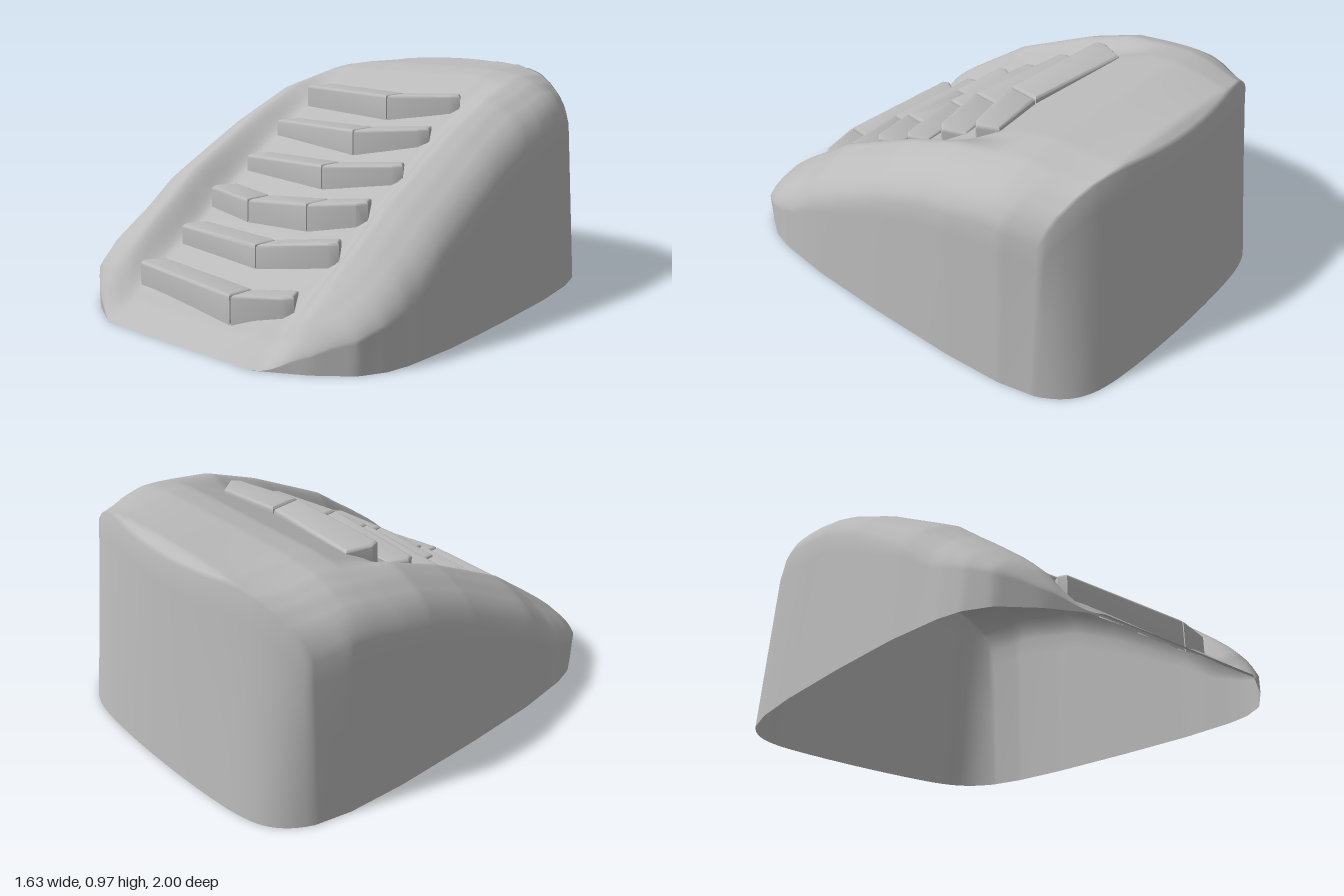
import * as THREE from 'three';
import { toCreasedNormals } from 'three/addons/utils/BufferGeometryUtils.js';

const stone = new THREE.MeshStandardMaterial({ color: 0xbbbbbb, side: THREE.DoubleSide });
stone.name = 'grey stone';

const lerp = THREE.MathUtils.lerp;
const smooth = THREE.MathUtils.smoothstep;

// Straight interpolation in a short list of [position, value] pairs
function sample(table, t) {
  for (let i = 1; i < table.length; i++) {
    const [a, va] = table[i - 1], [b, vb] = table[i];
    if (t <= b) return lerp(va, vb, Math.max(0, (t - a) / (b - a)));
  }
  return table[table.length - 1][1];
}

// Ridge height, channel depth and half widths along z; fall of the surface towards its sides
const ridge = [[-0.92, 0.94], [-0.87, 0.975], [-0.6, 0.96], [-0.25, 0.885], [0, 0.775], [0.4, 0.555], [0.75, 0.285], [0.85, 0.2], [1, 0]];
const channelDepth = [[-0.48, 0], [-0.2, 0.075], [0.08, 0.11], [0.26, 0.135], [0.46, 0.152], [0.65, 0.125], [0.88, 0.085], [1, 0]];
const topWidth = [[-0.8, 0.65], [-0.65, 0.71], [-0.4, 0.75], [0, 0.775], [0.35, 0.795], [0.6, 0.79], [0.7, 0.775], [0.8, 0.73], [0.9, 0.6], [1, 0.41]];
const baseWidth = [[-0.8, 0.69], [-0.65, 0.735], [-0.4, 0.77], [0, 0.8], [0.35, 0.815], [0.6, 0.805], [0.7, 0.785], [0.8, 0.73], [0.9, 0.6], [1, 0.41]];
const sideFall = [[0, 0], [0.5, 0], [0.7, 0.018], [0.8, 0.045], [0.9, 0.09], [0.96, 0.135], [1, 0.2]];

// Steps from the lowest up: [x, back z, front z, top y] at each joint
const steps = [
  [[-0.43, 0.72, 0.83, 0.22], [0.17, 0.755, 0.875, 0.2], [0.41, 0.695, 0.81, 0.22]],
  [[-0.41, 0.5, 0.62, 0.34], [0.08, 0.53, 0.65, 0.335], [0.43, 0.475, 0.58, 0.385]],
  [[-0.43, 0.3, 0.43, 0.475], [-0.155, 0.325, 0.46, 0.455], [0.17, 0.31, 0.45, 0.48], [0.42, 0.28, 0.4, 0.51]],
  [[-0.41, 0.1, 0.23, 0.59], [0.08, 0.135, 0.26, 0.6], [0.43, 0.08, 0.19, 0.63]],
  [[-0.415, -0.09, 0.03, 0.725], [0.1, -0.065, 0.08, 0.73], [0.415, -0.13, 0, 0.755]],
  [[-0.41, -0.32, -0.17, 0.87], [0.11, -0.27, -0.135, 0.86], [0.425, -0.32, -0.21, 0.875]],
];

// Sloping surface with the hollow channel that holds the steps
function surfaceHeight(x, z, u) {
  const p = sample(ridge, z);
  const channel = sample(channelDepth, z) * (1 - smooth(Math.abs(x), 0.4, 0.56));
  const fall = sample(sideFall, Math.abs(u)) + 0.06 * u * u * smooth(-z, 0.5, 0.85);
  return Math.max(0, p - fall * Math.min(1, p / 0.45) - channel);
}

// True well inside a step block, where the shell is open below
function underStep(x, z) {
  return steps.some((joints) => joints.slice(1).some((b, k) => {
    const a = joints[k], t = (x - a[0]) / (b[0] - a[0]);
    const left = a[0] + (k === 0 ? 0.06 : 0.025);
    const right = b[0] - (k === joints.length - 2 ? 0.07 : 0.025);
    return x > left && x < right && z > lerp(a[1], b[1], t) + 0.025 && z < lerp(a[2], b[2], t) - 0.025;
  }));
}

function shellGeometry() {
  const NU = 80, NV = 110, positions = [], index = [];
  const add = (x, y, z) => positions.push(x, y, z) / 3 - 1;
  const quad = (a, b, c, d) => index.push(a, b, c, a, c, d);
  const at = (a) => positions.slice(a * 3, a * 3 + 3);

  // Top sheet
  const grid = [];
  for (let j = 0; j <= NV; j++) {
    grid.push([]);
    for (let i = 0; i <= NU; i++) {
      const u = (i / NU) * 2 - 1, v = j / NV;
      const x = u * sample(topWidth, lerp(-0.8, 1, v));
      const z = lerp(-0.92 + 0.14 * u * u, 1, v);
      grid[j].push(add(x, surfaceHeight(x, z, u), z));
    }
  }
  for (let j = 0; j < NV; j++)
    for (let i = 0; i < NU; i++) {
      const a = at(grid[j][i]), c = at(grid[j + 1][i + 1]);
      if (!underStep((a[0] + c[0]) / 2, (a[2] + c[2]) / 2))
        quad(grid[j][i], grid[j + 1][i], grid[j + 1][i + 1], grid[j][i + 1]);
    }

  // Border from front right, round the back, to front left
  const border = [];
  for (let j = NV; j > 0; j--) border.push([grid[j][0], -1, j / NV]);
  for (let i = 0; i <= NU; i++) border.push([grid[0][i], (i / NU) * 2 - 1, 0]);
  for (let j = 1; j <= NV; j++) border.push([grid[j][NU], 1, j / NV]);

  // Wall hanging from the border to the ground
  let previous = null;
  for (const [top, u, v] of border) {
    const zr = lerp(-0.8, 1, v);
    const bx = u * sample(baseWidth, zr);
    const bz = v > 0 ? zr : -1 + 0.15 * u ** 8 + 0.05 * u * u;
    const [tx, ty, tz] = at(top);
    const column = [top];
    for (const f of [0.12, 0.5, 1]) column.push(add(lerp(tx, bx, f), ty * (1 - f), lerp(tz, bz, f)));
    if (previous)
      for (let k = 0; k < 3; k++) quad(previous[k], column[k], column[k + 1], previous[k + 1]);
    previous = column;
  }

  const g = new THREE.BufferGeometry();
  g.setAttribute('position', new THREE.Float32BufferAttribute(positions, 3));
  g.setIndex(index);
  g.computeVertexNormals();
  return g;
}

// One hollow rounded block; each end is [x, back z, front z, top y, outer end taper]
function blockGeometry(a, b) {
  const bevel = 0.014, depth = 0.12, gap = 0.003;
  const x0 = a[0] + gap, x1 = b[0] - gap;
  const shape = new THREE.Shape([
    [x0 + a[4] * 0.4, -a[2]], [x1 - b[4] * 0.6, -b[2]],
    [x1, -lerp(b[1], b[2], 0.7)], [x1 - b[4], -b[1]],
    [x0 + a[4], -a[1]], [x0, -lerp(a[1], a[2], 0.7)],
  ].map(([x, y]) => new THREE.Vector2(x, y)));
  const g = new THREE.ExtrudeGeometry(shape, {
    depth: depth - 2 * bevel, bevelEnabled: true, bevelThickness: bevel,
    bevelSize: bevel, bevelOffset: -bevel, bevelSegments: 3,
  });
  g.rotateX(-Math.PI / 2);

  // Leave the underside open, raise the lid to its top line and sink the walls into the channel
  const p = g.attributes.position, kept = [];
  const isLow = (i) => p.getY(i) < depth / 2 - bevel;
  for (let i = 0; i < p.count; i += 3) {
    if (isLow(i) && isLow(i + 1) && isLow(i + 2)) continue;
    for (let k = i; k < i + 3; k++) {
      const x = p.getX(k), z = p.getZ(k);
      const top = lerp(a[3], b[3], (x - x0) / (x1 - x0));
      const y = isLow(k)
        ? Math.min(surfaceHeight(x, z, x / 0.75) - 0.012, top - 0.03)
        : top + p.getY(k) - depth + bevel;
      kept.push(x, y, z);
    }
  }
  const block = new THREE.BufferGeometry();
  block.setAttribute('position', new THREE.Float32BufferAttribute(kept, 3));
  return toCreasedNormals(block, 0.7);
}

export function createModel() {
  const model = new THREE.Group();
  model.name = 'steppedMound';

  const shell = new THREE.Mesh(shellGeometry(), stone);
  shell.name = 'moundShell';
  model.add(shell);

  steps.forEach((joints, n) => {
    const step = new THREE.Group();
    step.name = `step${n + 1}`;
    for (let k = 0; k < joints.length - 1; k++) {
      const start = [...joints[k], k === 0 ? 0.04 : 0];
      const end = [...joints[k + 1], k === joints.length - 2 ? 0.05 : 0];
      const block = new THREE.Mesh(blockGeometry(start, end), stone);
      block.name = `stepBlock${k + 1}`;
      step.add(block);
    }
    model.add(step);
  });
  return model;
}
